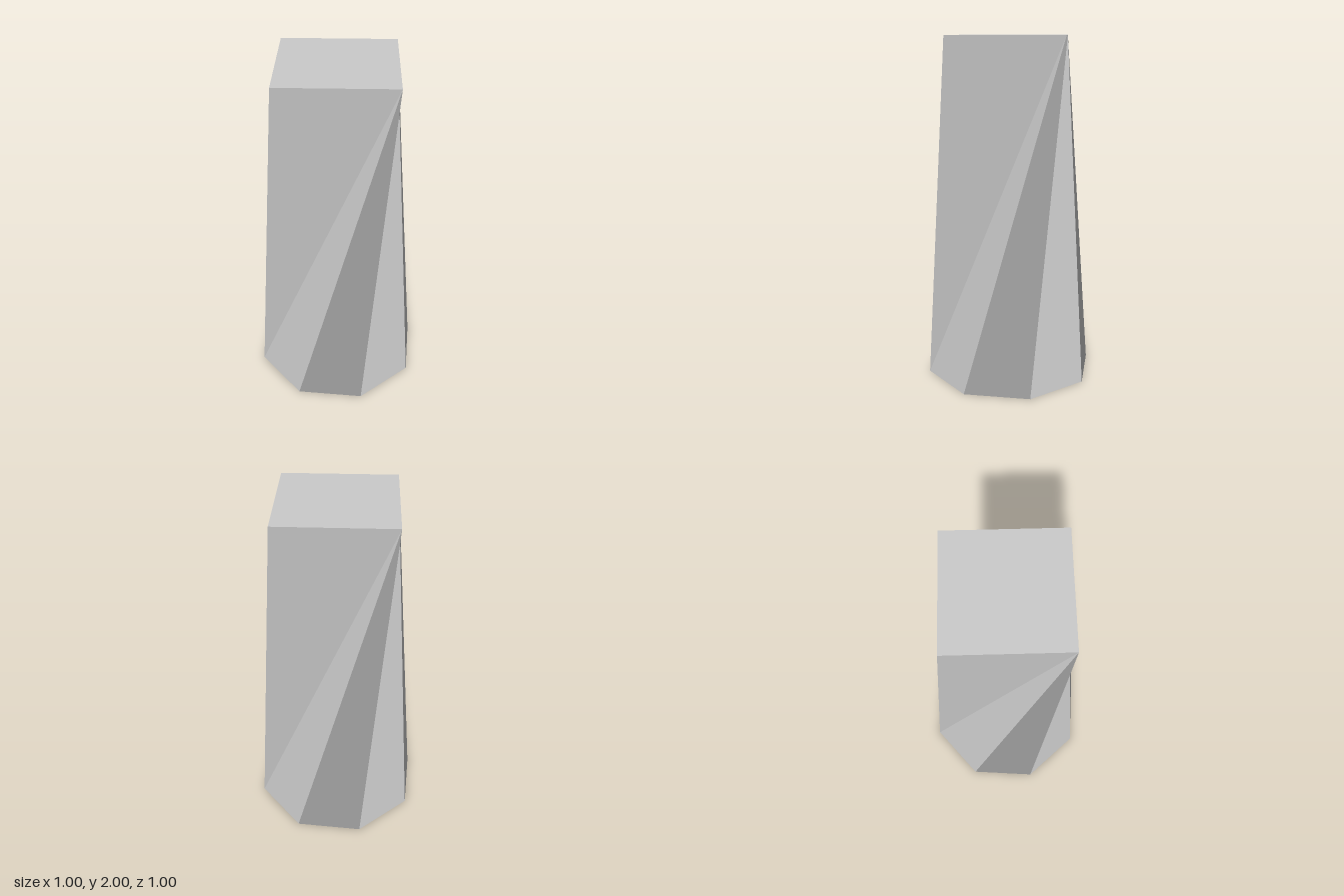
import * as THREE from 'three';

const HEIGHT = 2;
const BASE_RADIUS = 0.5; // eight-sided foot
const TOP_RADIUS = 0.46; // four-sided top
const BASE_TURN = 2.3; // degrees
const TOP_TURN = 20.4;

// Corner on a horizontal ring, angle in degrees from +x towards +z
function corner(radius, degrees, y) {
  const a = THREE.MathUtils.degToRad(degrees);
  return new THREE.Vector3(radius * Math.cos(a), y, radius * Math.sin(a));
}
const base = (i) => corner(BASE_RADIUS, BASE_TURN + 45 * i, 0);
const top = (i) => corner(TOP_RADIUS, TOP_TURN + 90 * i, HEIGHT);

// Polygons as triangle fans; every polygon keeps one averaged flat normal
function polygonGeometry(polygons) {
  const positions = [];
  const normals = [];
  for (const points of polygons) {
    const triangles = [];
    const normal = new THREE.Vector3();
    for (let i = 1; i < points.length - 1; i++) {
      const [a, b, c] = [points[0], points[i], points[i + 1]];
      triangles.push(a, b, c);
      normal.add(b.clone().sub(a).cross(c.clone().sub(a)));
    }
    normal.normalize();
    for (const p of triangles) {
      positions.push(p.x, p.y, p.z);
      normals.push(normal.x, normal.y, normal.z);
    }
  }
  const geometry = new THREE.BufferGeometry();
  geometry.setAttribute('position', new THREE.Float32BufferAttribute(positions, 3));
  geometry.setAttribute('normal', new THREE.Float32BufferAttribute(normals, 3));
  return geometry;
}

export function createModel() {
  const group = new THREE.Group();
  group.name = 'twistedPillar';
  const material = new THREE.MeshStandardMaterial({ color: 0xcccccc });

  const add = (name, polygons) => {
    const mesh = new THREE.Mesh(polygonGeometry(polygons), material);
    mesh.name = name;
    group.add(mesh);
  };

  // Each side is a twisted four-cornered panel and a triangular one beside it
  const panels = [];
  const wedges = [];
  for (let k = 0; k < 4; k++) {
    const b = 2 * k;
    panels.push([base(b + 3), top(k), top(k + 1), base(b + 4)]);
    wedges.push([base(b + 3), base(b + 2), top(k)]);
  }
  add('sidePanels', panels);
  add('sideWedges', wedges);

  // Flat ends
  add('topCap', [[3, 2, 1, 0].map(top)]);
  add('baseCap', [[0, 1, 2, 3, 4, 5, 6, 7].map(base)]);

  return group;
}
